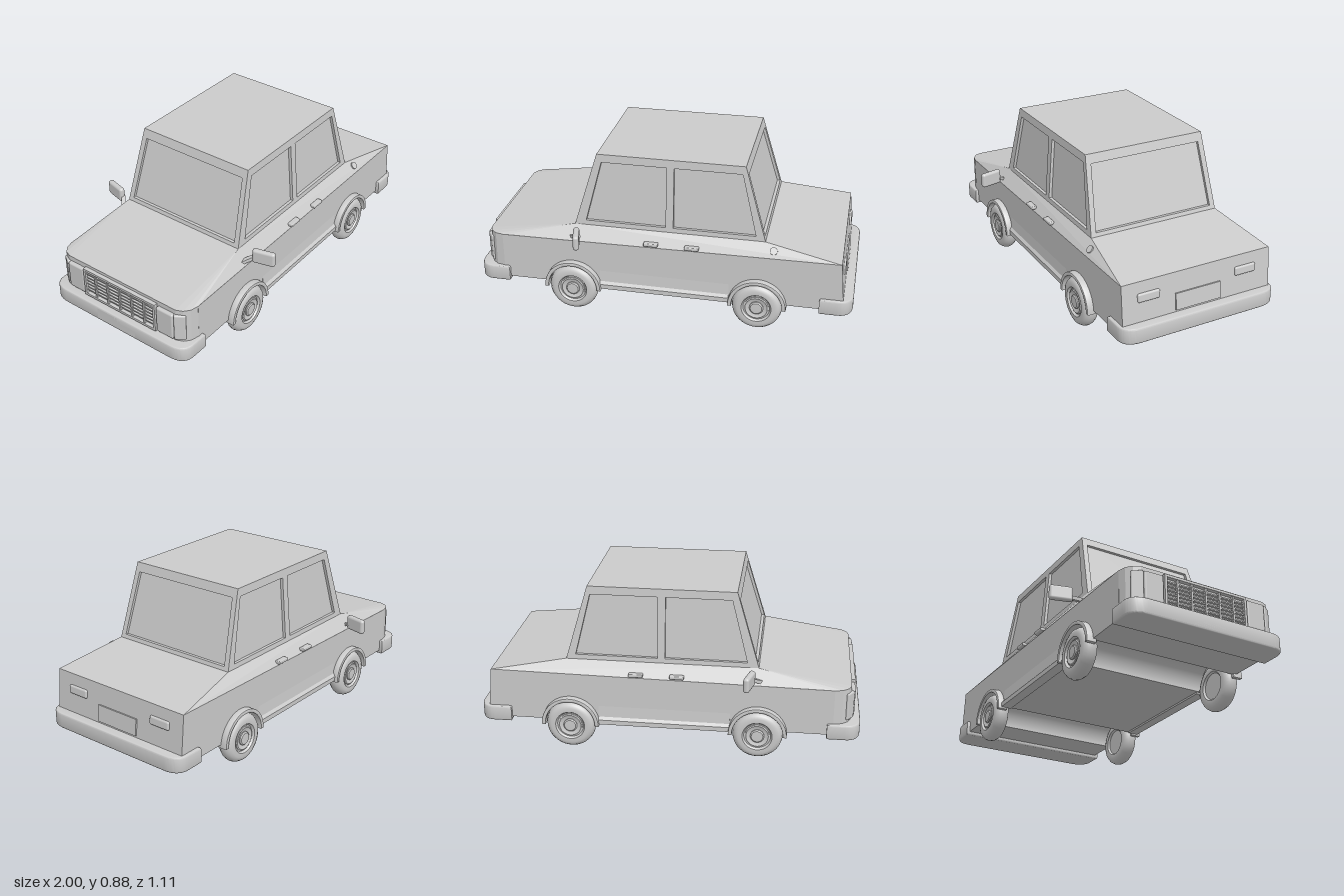
import * as THREE from 'three';
import { RoundedBoxGeometry } from 'three/addons/geometries/RoundedBoxGeometry.js';
import { ConvexGeometry } from 'three/addons/geometries/ConvexGeometry.js';
import { toCreasedNormals } from 'three/addons/utils/BufferGeometryUtils.js';

const mat = new THREE.MeshStandardMaterial({ color: 0xcccccc });
const WHEELS = [-0.475, 0.51];

function add(parent, name, geo, x = 0, y = 0, z = 0) {
  const m = new THREE.Mesh(geo, mat);
  m.name = name;
  m.position.set(x, y, z);
  parent.add(m);
  return m;
}
const poly = pts => new THREE.Shape(pts.map(p => new THREE.Vector2(p[0], p[1])));
const extrude = (shape, depth, opts = {}) =>
  new THREE.ExtrudeGeometry(shape, { depth, bevelEnabled: false, curveSegments: 20, ...opts });
const hull = pts => new ConvexGeometry(pts.map(p => new THREE.Vector3(...p)));
const bothSides = pts => pts.flatMap(([x, y, z]) => [[x, y, z], [x, y, -z]]);

// Sloping cabin faces as functions of height
const t = y => (y - 0.48) / 0.395;
const frontX = y => -0.47 + 0.12 * t(y);
const rearX = y => 0.535 - 0.115 * t(y);
const sideZ = y => 0.365 - 0.03 * t(y);
const Y0 = 0.475, Y1 = 0.875, THICK = 0.018;

// Framed panel: flat outline with holes, laid onto a sloping face by a rule
function panel(outline, holes, rule) {
  const s = poly(outline);
  s.holes = holes.map(poly);
  const g = extrude(s, THICK), p = g.attributes.position;
  for (let i = 0; i < p.count; i++) {
    p.setXYZ(i, ...rule(p.getX(i), p.getY(i), THICK - p.getZ(i)));
  }
  g.computeVertexNormals();
  return g;
}

function frustum(inset, bottom, top) {
  return hull(bothSides([bottom, top].flatMap(y => [
    [frontX(y) + inset, y, sideZ(y) - inset], [rearX(y) - inset, y, sideZ(y) - inset]])));
}

function makeCabin() {
  const g = new THREE.Group();
  g.name = 'cabin';
  const side = panel(
    [[frontX(Y0), Y0], [rearX(Y0), Y0], [rearX(Y1), Y1], [frontX(Y1), Y1]],
    [[[-0.41, 0.505], [0.015, 0.505], [0.015, 0.832], [-0.325, 0.832]],
     [[0.055, 0.505], [0.485, 0.505], [0.405, 0.832], [0.055, 0.832]]],
    (u, y, d) => [u, y, sideZ(y) - d]);
  add(g, 'leftWindowFrame', side);
  add(g, 'rightWindowFrame', side).scale.z = -1;
  const end = [[-sideZ(Y0), Y0], [sideZ(Y0), Y0], [sideZ(Y1), Y1], [-sideZ(Y1), Y1]];
  const hole = [[[-0.335, 0.5], [0.335, 0.5], [0.31, 0.828], [-0.31, 0.828]]];
  add(g, 'windshieldFrame', panel(end, hole, (u, y, d) => [frontX(y) + d, y, u]));
  add(g, 'rearWindowFrame', panel(end, hole, (u, y, d) => [rearX(y) - d, y, -u]));
  add(g, 'windowGlass', frustum(0.016, 0.46, 0.865));
  add(g, 'roof', frustum(0.004, 0.84, 0.875));
  return g;
}

function makeBody() {
  const g = new THREE.Group();
  g.name = 'body';
  // Side profile with wheel wells cut through
  const s = new THREE.Shape();
  s.moveTo(-0.86, 0.15);
  for (const x of WHEELS) {
    s.lineTo(x - 0.137, 0.15);
    s.absarc(x, 0.15, 0.137, Math.PI, 0, true);
  }
  s.lineTo(0.955, 0.15);
  s.lineTo(0.93, 0.42);
  s.lineTo(-0.86, 0.401);
  add(g, 'lowerBody', toCreasedNormals(extrude(s, 0.84).translate(0, 0, -0.42), 0.5));
  // Nose with chamfered corners
  const plan = [[-0.86, 0.42], [-0.905, 0.41], [-0.935, 0.385], [-0.95, 0.35]];
  add(g, 'nose', hull(bothSides(plan.flatMap(([x, z]) => [[x, 0.15, z], [x + 0.004, 0.401, z]]))));
  // Bonnet, shoulders and boot lid in one faceted deck
  add(g, 'deck', hull(bothSides([
    ...plan.map(([x, z]) => [x + 0.004, 0.4, z]),
    [0.93, 0.42, 0.42], [-0.47, 0.48, 0.365], [0.535, 0.48, 0.365]])));
  return g;
}

// Bumper with rounded outer corners, pointing along +x
function bumperGeometry() {
  const s = new THREE.Shape(), w = 0.43, b = 0.155;
  s.moveTo(0, -w);
  s.lineTo(b - 0.07, -w);
  s.quadraticCurveTo(b, -w, b, -w + 0.09);
  s.lineTo(b, w - 0.09);
  s.quadraticCurveTo(b, w, b - 0.07, w);
  s.lineTo(0, w);
  const g = extrude(s, 0.065, { bevelEnabled: true, bevelSize: 0.008, bevelThickness: 0.009, bevelSegments: 3 });
  return toCreasedNormals(g.rotateX(-Math.PI / 2), 0.6);
}

function makeWheel() {
  const g = new THREE.Group();
  const lathe = pts => toCreasedNormals(
    new THREE.LatheGeometry(pts.map(p => new THREE.Vector2(p[0], p[1])), 40).rotateX(Math.PI / 2), 0.6);
  add(g, 'tyre', lathe([[0, -0.03], [0.07, -0.03], [0.078, -0.04], [0.1, -0.041], [0.116, -0.034], [0.127, -0.018],
    [0.131, 0], [0.127, 0.018], [0.116, 0.034], [0.1, 0.041], [0.078, 0.04], [0.07, 0.028], [0, 0.028]]));
  add(g, 'rim', lathe([[0.064, 0.02], [0.064, 0.034], [0.058, 0.037], [0.042, 0.03], [0, 0.03]]));
  add(g, 'hubCap', lathe([[0.036, 0.02], [0.036, 0.036], [0.03, 0.041], [0, 0.042]]));
  return g;
}

// Everything repeated on both flanks
function makeFlank() {
  const g = new THREE.Group();
  const ring = new THREE.Shape();
  ring.absarc(0, 0, 0.148, 0, Math.PI, false);
  ring.absarc(0, 0, 0.136, Math.PI, 0, true);
  const flare = toCreasedNormals(extrude(ring, 0.045,
    { bevelEnabled: true, bevelSize: 0.004, bevelThickness: 0.005, bevelSegments: 2 }), 0.6);
  WHEELS.forEach((x, i) => {
    const w = makeWheel();
    w.name = i ? 'rearWheel' : 'frontWheel';
    w.position.set(x, 0.131, 0.412);
    g.add(w);
    add(g, 'wheelArch', flare, x, 0.135, 0.405);
  });
  // Sill between the wheel arches, profile in z and y
  const sill = extrude(poly([[-0.38, 0.14], [-0.38, 0.24], [-0.42, 0.24], [-0.424, 0.18],
    [-0.436, 0.165], [-0.436, 0.14]]), 0.69);
  add(g, 'sill', sill.rotateY(Math.PI / 2), -0.33);
  for (const x of [-0.052, 0.162]) {
    add(g, 'doorHandle', new RoundedBoxGeometry(0.075, 0.018, 0.03, 2, 0.005), x, 0.428, 0.418);
  }
  // Door mirror on its stalk
  add(g, 'mirror', new RoundedBoxGeometry(0.032, 0.08, 0.122, 3, 0.014), -0.428, 0.461, 0.494).rotation.y = 0.25;
  const stalk = add(g, 'mirrorStalk', new THREE.BoxGeometry(0.022, 0.018, 0.085), -0.458, 0.434, 0.42);
  stalk.rotation.set(-0.4, 0.8, 0, 'YXZ');
  // Headlight and wraparound indicator
  add(g, 'headlight', new RoundedBoxGeometry(0.03, 0.15, 0.105, 2, 0.01), -0.952, 0.3, 0.292);
  const lamp = add(g, 'indicator', new RoundedBoxGeometry(0.026, 0.15, 0.06, 2, 0.008), -0.937, 0.3, 0.368);
  lamp.rotation.y = 0.6;
  add(g, 'tailLight', new RoundedBoxGeometry(0.022, 0.046, 0.122, 3, 0.01), 0.937, 0.337, 0.275).rotation.z = 0.09;
  return g;
}

export function createModel() {
  const car = new THREE.Group();
  car.name = 'car';
  car.add(makeBody(), makeCabin());

  const left = makeFlank(), right = makeFlank();
  left.name = 'leftFlank';
  right.name = 'rightFlank';
  right.scale.z = -1;
  car.add(left, right);

  const bumper = bumperGeometry();
  add(car, 'rearBumper', bumper, 0.837, 0.139);
  add(car, 'frontBumper', bumper, -0.837, 0.139).rotation.y = Math.PI;
  add(car, 'frontPlate', new THREE.BoxGeometry(0.006, 0.06, 0.25), -0.997, 0.172);
  add(car, 'rearPlate', new THREE.BoxGeometry(0.014, 0.088, 0.256), 0.945, 0.267).rotation.z = 0.09;
  add(car, 'fuelCap', new THREE.CylinderGeometry(0.02, 0.02, 0.02, 24), 0.582, 0.445, 0.393).rotation.x = 0.85;

  // Grille: surround, slats and uprights
  const surround = poly([[-0.235, 0.22], [0.235, 0.22], [0.235, 0.385], [-0.235, 0.385]]);
  surround.holes = [poly([[-0.222, 0.233], [0.222, 0.233], [0.222, 0.372], [-0.222, 0.372]])];
  add(car, 'grilleSurround', extrude(surround, 0.025).rotateY(-Math.PI / 2), -0.943);
  for (let i = 0; i < 6; i++) {
    add(car, 'grilleSlat', new THREE.BoxGeometry(0.014, 0.007, 0.45), -0.953, 0.252 + i * 0.02);
  }
  for (let i = -2; i <= 2; i++) {
    add(car, 'grilleUpright', new THREE.BoxGeometry(0.02, 0.145, 0.01), -0.954, 0.302, i * 0.08);
  }
  return car;
}
